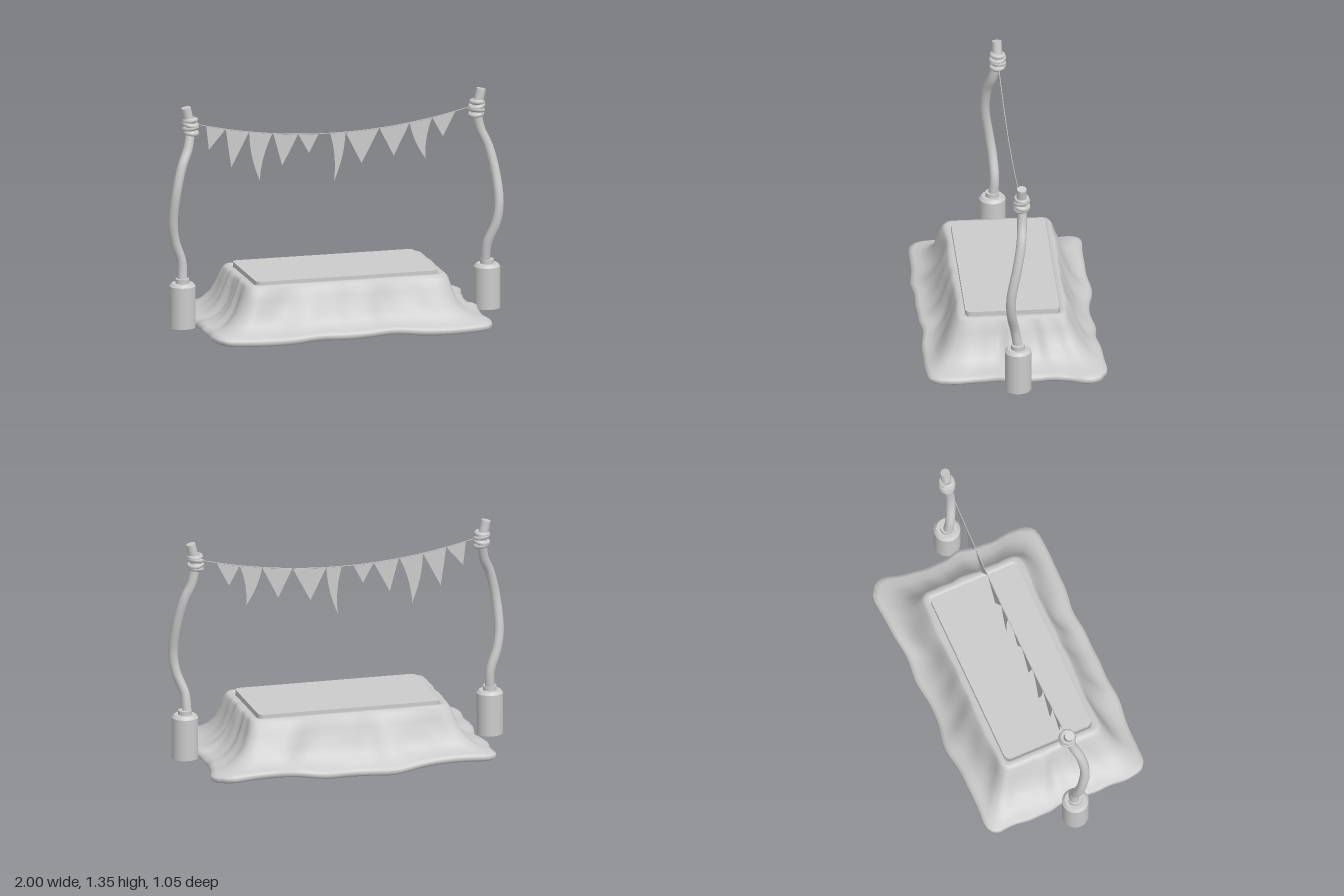
import * as THREE from 'three';

const mat = new THREE.MeshStandardMaterial({ color: 0xcccccc });
const thin = new THREE.MeshStandardMaterial({ color: 0xcccccc, side: THREE.DoubleSide });
const V = (x, y, z) => new THREE.Vector3(x, y, z);

function add(parent, name, geometry, material = mat) {
  const mesh = new THREE.Mesh(geometry, material);
  mesh.name = name;
  parent.add(mesh);
  return mesh;
}

// Hollow draped mound: rounded-rectangle loops running down the outside and back up the inside
function moundGeometry() {
  // half width, half depth, corner radius, height, ripple, rim weight
  const rings = [
    [0.545, 0.272, 0.03, 0.325, 0, 0],
    [0.555, 0.28, 0.03, 0.338, 0, 0],
    [0.585, 0.305, 0.05, 0.338, 0.004, 0],
    [0.603, 0.322, 0.06, 0.318, 0.006, 0],
    [0.622, 0.345, 0.07, 0.26, 0.012, 0],
    [0.655, 0.375, 0.08, 0.18, 0.016, 0.1],
    [0.70, 0.41, 0.08, 0.125, 0.016, 0.3],
    [0.755, 0.45, 0.08, 0.09, 0.014, 0.6],
    [0.80, 0.485, 0.08, 0.083, 0.012, 0.9],
    [0.825, 0.506, 0.08, 0.07, 0.011, 1],
    [0.83, 0.51, 0.08, 0.05, 0.011, 1],
    [0.815, 0.495, 0.08, 0.035, 0.011, 1],
    [0.73, 0.425, 0.08, 0.04, 0.012, 0.7],
    [0.70, 0.40, 0.08, 0.07, 0.014, 0.4],
    [0.635, 0.355, 0.08, 0.17, 0.012, 0.1],
    [0.595, 0.32, 0.06, 0.26, 0.008, 0],
    [0.57, 0.29, 0.05, 0.31, 0, 0],
    [0.545, 0.272, 0.03, 0.325, 0, 0],
  ];
  const side = 40, n = side * 4, pos = [], index = [];
  rings.forEach(([hx, hz, r, y, ripple, rim]) => {
    for (let j = 0; j < n; j++) {
      const s = Math.floor(j / side), t = (j % side) / side * 2 - 1;
      const [u, v] = [[1, t], [-t, 1], [-1, -t], [t, -1]][s];
      const cx = THREE.MathUtils.clamp(u * hx, r - hx, hx - r);
      const cz = THREE.MathUtils.clamp(v * hz, r - hz, hz - r);
      const out = new THREE.Vector2(u * hx - cx, v * hz - cz).normalize();
      const a = Math.atan2(v, u);
      let push = ripple * (0.6 * Math.sin(7 * a + 1 + y * 5) + 0.5 * Math.sin(13 * a + y * 9) + 0.3 * Math.sin(23 * a));
      // flared back corner and pinched middle of the back edge
      push += rim * 0.045 * Math.exp(-(((u - 1) / 0.2) ** 2) - ((v + 0.8) / 0.2) ** 2);
      push -= rim * 0.02 * Math.exp(-((u / 0.15) ** 2)) * (v < -0.9 ? 1 : 0);
      // hem rises and falls, sagging at the back
      let lift = rim * (0.006 * Math.sin(5 * a + 0.5) + 0.005 * Math.sin(11 * a));
      lift -= rim * 0.03 * Math.exp(-((u / 0.4) ** 2)) * THREE.MathUtils.smoothstep(-v, 0.6, 1);
      pos.push(cx + out.x * (r + push), Math.max(0, y + lift), cz + out.y * (r + push));
    }
  });
  for (let i = 0; i < rings.length - 1; i++) {
    for (let j = 0; j < n; j++) {
      const k = (j + 1) % n, a = i * n + j, b = i * n + k;
      index.push(a, b, a + n, b, b + n, a + n);
    }
  }
  const g = new THREE.BufferGeometry();
  g.setAttribute('position', new THREE.Float32BufferAttribute(pos, 3));
  g.setIndex(index);
  g.computeVertexNormals();
  return g;
}

// Rounded slab on top of the mound
function plateGeometry(hx, hz, r, height) {
  const s = new THREE.Shape();
  s.absarc(hx - r, hz - r, r, 0, Math.PI / 2);
  s.absarc(r - hx, hz - r, r, Math.PI / 2, Math.PI);
  s.absarc(r - hx, r - hz, r, Math.PI, Math.PI * 1.5);
  s.absarc(hx - r, r - hz, r, Math.PI * 1.5, Math.PI * 2);
  s.closePath();
  return new THREE.ExtrudeGeometry(s, { depth: height, bevelEnabled: false, curveSegments: 6 }).rotateX(-Math.PI / 2);
}

// Weighted foot, bent pole, lashing and tip; side is +1 or -1
function post(side, bend) {
  const g = new THREE.Group();
  g.name = side > 0 ? 'leftPost' : 'rightPost';

  const foot = [[0, 0.05], [0.077, 0.05], [0.077, 0.05], [0.077, 0.295], [0.077, 0.295], [0.062, 0.312],
    [0.062, 0.312], [0.04, 0.312], [0.04, 0.312], [0.04, 0.337], [0.04, 0.337], [0, 0.337]];
  const footProfile = foot.map(([x, y]) => new THREE.Vector2(x, y));
  add(g, 'foot', new THREE.LatheGeometry(footProfile, 32)).position.x = side * 0.912;

  const path = new THREE.CatmullRomCurve3(bend.map(([x, y, z]) => V(side * x, y, z)));
  add(g, 'pole', new THREE.TubeGeometry(path, 48, 0.028, 14));

  // tip leaning outward
  const tip = add(g, 'poleTip', new THREE.CylinderGeometry(0.028, 0.03, 0.15, 14));
  tip.position.set(side * 0.868, 1.272, -0.024);
  tip.rotation.z = -side * 0.22;

  // uneven coils of the lashing
  [[1.197, 0.12, 0.033], [1.222, -0.15, 0.036], [1.247, 0.2, 0.036], [1.268, -0.08, 0.032]].forEach(([y, tilt, r]) => {
    const coil = add(g, 'lashing', new THREE.TorusGeometry(r, 0.015, 8, 24).rotateX(Math.PI / 2));
    coil.position.set(side * (0.854 + (y - 1.2) * 0.07), y, -0.026);
    coil.rotation.set(tilt, 0, side * tilt);
  });
  return g;
}

// Pennant string, hung between the lashings
const stringY = (x) => 1.137 + 0.155 * x * x;
function bunting() {
  const g = new THREE.Group();
  g.name = 'bunting';
  const z = -0.026;
  const points = Array.from({ length: 17 }, (_, i) => -0.83 + i * 0.10375).map((x) => V(x, stringY(x), z));
  add(g, 'string', new THREE.TubeGeometry(new THREE.CatmullRomCurve3(points), 48, 0.0025, 6));

  // left x, right x, tip x, tip y, curl of the edges
  const flags = [
    [-0.762, -0.645, -0.746, 1.085, 0], [-0.645, -0.505, -0.612, 0.973, 0],
    [-0.505, -0.366, -0.441, 0.882, -0.03], [-0.36, -0.211, -0.307, 0.962, 0],
    [-0.211, -0.088, -0.147, 1.027, 0], [-0.02, 0.072, 0.003, 0.85, 0.03],
    [0.072, 0.275, 0.168, 0.947, 0], [0.275, 0.457, 0.361, 0.979, 0],
    [0.457, 0.591, 0.553, 0.947, -0.03], [0.591, 0.73, 0.655, 1.075, 0],
  ];
  flags.forEach(([l, r, tx, ty, curl]) => {
    const s = new THREE.Shape();
    const yl = stringY(l), yr = stringY(r);
    s.moveTo(l, yl);
    s.quadraticCurveTo((l + tx) / 2 + curl, (yl + ty) / 2, tx, ty);
    s.quadraticCurveTo((r + tx) / 2 + curl, (yr + ty) / 2, r, yr);
    s.quadraticCurveTo((l + r) / 2, (yl + yr) / 2 - 0.002, l, yl);
    add(g, 'pennant', new THREE.ShapeGeometry(s, 8), thin).position.z = z;
  });
  return g;
}

export function createModel() {
  const model = new THREE.Group();
  model.name = 'buntingStand';
  add(model, 'mound', moundGeometry(), thin);
  add(model, 'topPlate', plateGeometry(0.542, 0.273, 0.035, 0.025)).position.y = 0.331;

  model.add(post(1, [[0.9, 0.32, 0], [0.908, 0.43, 0.018], [0.955, 0.56, 0.042], [0.972, 0.68, 0.043],
    [0.958, 0.86, 0.008], [0.922, 1.01, -0.018], [0.878, 1.11, -0.026], [0.856, 1.23, -0.026]]));
  model.add(post(-1, [[0.91, 0.32, -0.005], [0.912, 0.43, -0.012], [0.955, 0.56, -0.003], [0.972, 0.68, 0.015],
    [0.958, 0.86, 0.04], [0.922, 1.01, 0.03], [0.878, 1.11, 0.002], [0.856, 1.23, -0.026]]));
  model.add(bunting());
  return model;
}
